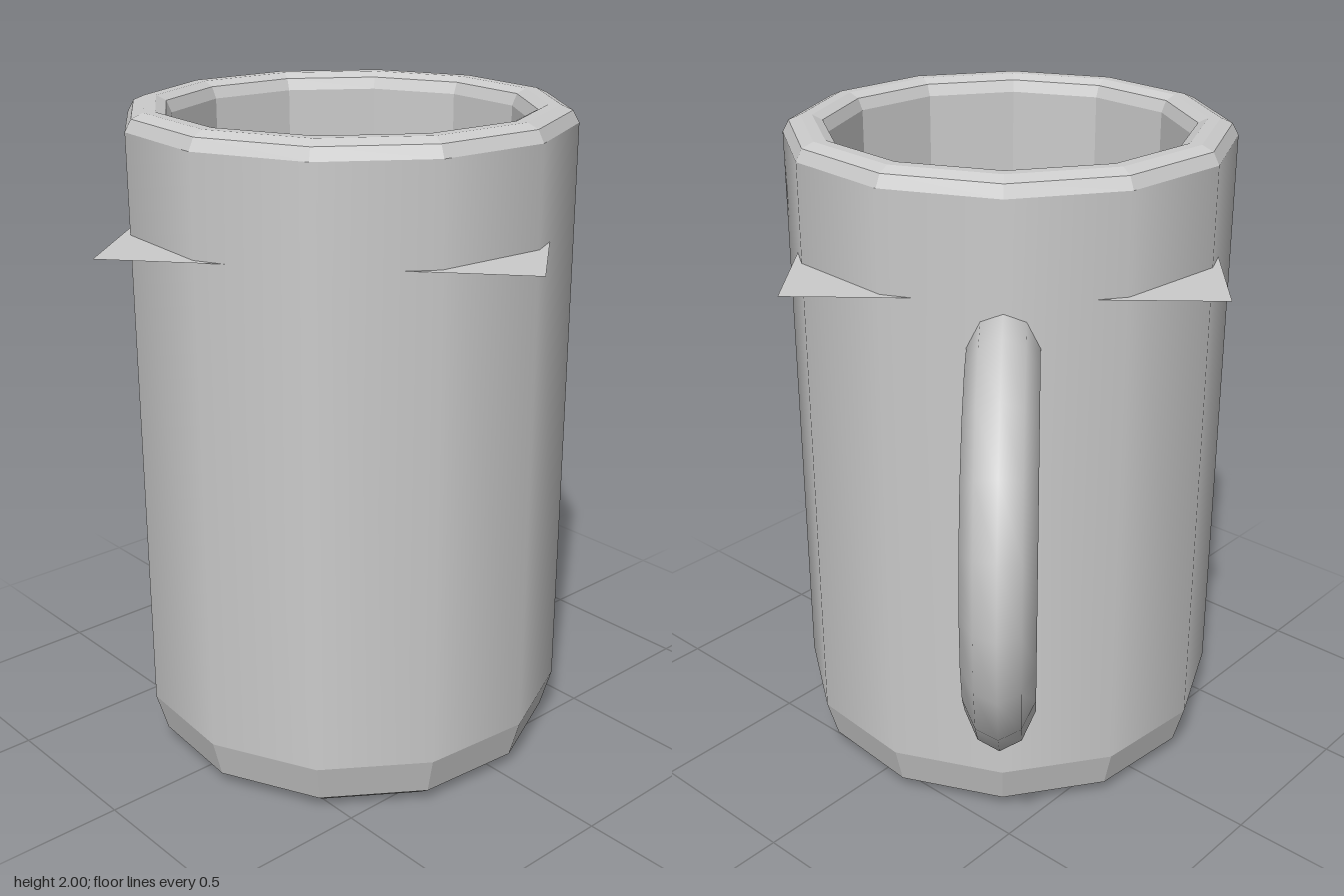
import * as THREE from 'three';

const SIDES = 12;

export function createModel() {
  const smooth = new THREE.MeshStandardMaterial({ color: 0xcccccc });
  const flat = new THREE.MeshStandardMaterial({ color: 0xcccccc, flatShading: true });
  const sheet = new THREE.MeshStandardMaterial({ color: 0xcccccc, side: THREE.DoubleSide });

  const model = new THREE.Group();
  model.name = 'mug';

  // The whole mug is turned so that the handle points to the back left
  const mug = new THREE.Group();
  mug.name = 'turnedMug';
  mug.position.x = -0.06;
  mug.rotation.y = THREE.MathUtils.degToRad(40);
  model.add(mug);

  const add = (name, geometry, material) => {
    const mesh = new THREE.Mesh(geometry, material);
    mesh.name = name;
    mug.add(mesh);
    return mesh;
  };

  // Twelve-sided turned section from [radius, height] pairs
  const turn = (name, profile, material) =>
    add(name, new THREE.LatheGeometry(profile.map(([r, y]) => new THREE.Vector2(r, y)), SIDES), material);

  // Body: bevelled base, smooth wall, rounded rim, hollow inside
  turn('base', [[0, 0], [0.575, 0], [0.63, 0.04], [0.664, 0.16]], flat);
  turn('outerWall', [[0.664, 0.16], [0.664, 1.95]], smooth);
  turn('rim', [[0.664, 1.95], [0.645, 1.985], [0.61, 2], [0.575, 2], [0.545, 1.985], [0.53, 1.95]], flat);
  turn('innerWall', [[0.53, 1.95], [0.53, 0.15], [0, 0.15]], flat);

  // Square liquid surface whose corners pass through the wall
  const liquid = add('liquidSurface', new THREE.PlaneGeometry(1.2, 1.2), sheet);
  liquid.rotation.x = -Math.PI / 2;
  liquid.position.y = 1.66;

  // Handle: half ring with an oval section, its ends sunk in the wall
  const ring = new THREE.TorusGeometry(0.495, 0.16, 10, 10, Math.PI);
  ring.rotateZ(-Math.PI / 2);
  ring.scale(1, 1, 0.65);
  add('handle', ring, smooth).position.set(0.58, 1, 0);

  return model;
}
